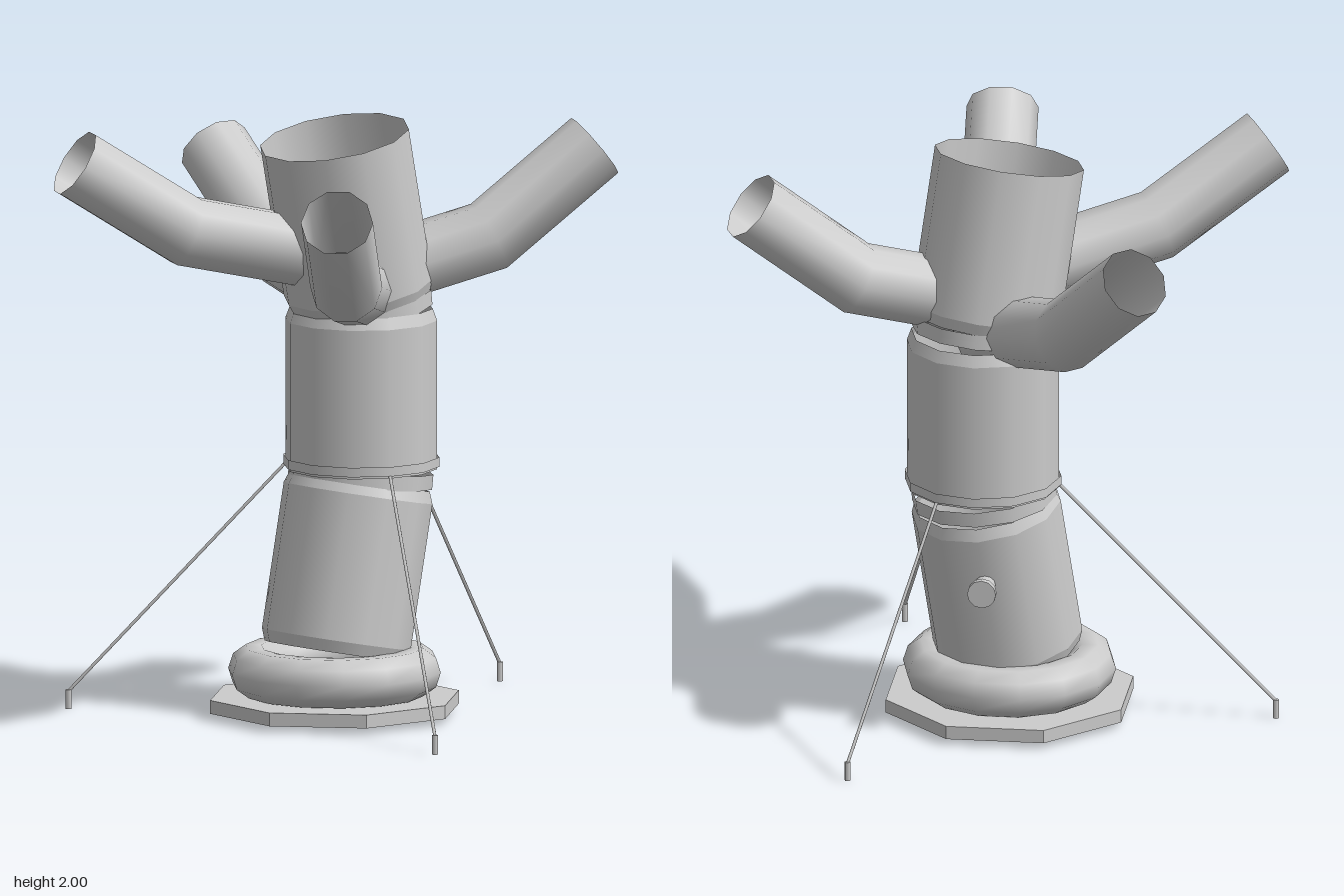
import * as THREE from 'three';

const V = (x, y, z) => new THREE.Vector3(x, y, z);
const solid = new THREE.MeshStandardMaterial({ color: 0xcccccc });
const open = new THREE.MeshStandardMaterial({ color: 0xcccccc, side: THREE.DoubleSide });

// Cylinder or cone running from point a to point b
function rod(name, a, b, ra, rb, sides, isOpen = false) {
  const dir = b.clone().sub(a);
  const mesh = new THREE.Mesh(
    new THREE.CylinderGeometry(rb, ra, dir.length(), sides, 1, isOpen), isOpen ? open : solid);
  mesh.name = name;
  mesh.position.copy(a).add(b).multiplyScalar(0.5);
  mesh.quaternion.setFromUnitVectors(V(0, 1, 0), dir.normalize());
  return mesh;
}

// Trunk section: open shell with a short chamfer where asked
function trunkSection(name, a, b, r, chamferStart, chamferEnd) {
  const group = new THREE.Group();
  group.name = name;
  const len = a.distanceTo(b), c = 0.04;
  const at = d => a.clone().lerp(b, d / len);
  const s = chamferStart ? c : 0, e = chamferEnd ? len - c : len;
  group.add(rod(name + 'Wall', at(s), at(e), r, r, 12, true));
  if (chamferStart) group.add(rod(name + 'LowerChamfer', a, at(s), r - 0.015, r, 12, true));
  if (chamferEnd) group.add(rod(name + 'UpperChamfer', at(e), b, r, r - 0.015, 12, true));
  return group;
}

// Hollow branch with one mitred elbow; its path lies in a vertical plane
function branch(name, points, r = 0.12, sides = 10) {
  const [p0, p1, p2] = points;
  const d0 = p1.clone().sub(p0).normalize(), d1 = p2.clone().sub(p1).normalize();
  const dm = d0.clone().add(d1).normalize();
  const side = V(d1.z, 0, -d1.x).normalize();
  const stretch = 1 / dm.dot(d0);
  const pos = [], index = [];
  [[p0, d0, 1], [p1, dm, stretch], [p2, d1, 1]].forEach(([p, d, k]) => {
    const up = d.clone().cross(side).normalize().multiplyScalar(k);
    for (let i = 0; i < sides; i++) {
      const t = (i / sides) * Math.PI * 2;
      const q = p.clone().addScaledVector(side, r * Math.cos(t)).addScaledVector(up, r * Math.sin(t));
      pos.push(q.x, q.y, q.z);
    }
  });
  for (let j = 0; j < 2; j++) for (let i = 0; i < sides; i++) {
    const a = j * sides + i, b = j * sides + (i + 1) % sides;
    index.push(a, b, a + sides, b, b + sides, a + sides);
  }
  const geo = new THREE.BufferGeometry();
  geo.setAttribute('position', new THREE.Float32BufferAttribute(pos, 3));
  geo.setIndex(index);
  geo.computeVertexNormals();
  const mesh = new THREE.Mesh(geo, open);
  mesh.name = name;
  return mesh;
}

export function createModel() {
  const model = new THREE.Group();
  model.name = 'branchingTrunk';
  const cz = -0.067;

  // Octagonal base plate, flats square to the axes
  const plateGeo = new THREE.CylinderGeometry(0.427, 0.427, 0.045, 8).rotateY(Math.PI / 8).toNonIndexed();
  plateGeo.computeVertexNormals();
  const plate = new THREE.Mesh(plateGeo, solid);
  plate.name = 'basePlate';
  plate.position.set(0, 0.043, cz);
  model.add(plate);

  // Rounded foot ring
  const foot = new THREE.Mesh(new THREE.TorusGeometry(0.272, 0.085, 10, 14).rotateX(Math.PI / 2), solid);
  foot.name = 'footRing';
  foot.position.set(0, 0.15, cz);
  model.add(foot);

  // Trunk: leaning lower part, upright middle, upper part leaning back again
  model.add(trunkSection('lowerTrunk', V(0, 0.215, -0.067), V(0.073, 0.775, -0.154), 0.252, true, true));
  model.add(trunkSection('middleTrunk', V(0.077, 0.82, -0.16), V(0.077, 1.36, -0.16), 0.255, false, true));
  model.add(trunkSection('upperTrunk', V(0.073, 1.39, -0.155), V(0, 1.945, -0.068), 0.252, true, false));

  // Collars at the two bends, and the band that holds the wires
  model.add(rod('lowerCollar', V(0.073, 0.77, -0.156), V(0.077, 0.82, -0.16), 0.243, 0.243, 12, true));
  model.add(rod('upperCollar', V(0.077, 1.355, -0.16), V(0.073, 1.405, -0.155), 0.24, 0.24, 12, true));
  model.add(rod('wireBand', V(0.077, 0.828, -0.16), V(0.077, 0.86, -0.16), 0.262, 0.262, 12, true));

  // Four hollow branches: root, elbow, mouth
  model.add(branch('leftBranch', [V(0.06, 1.46, -0.14), V(0.484, 1.585, -0.31), V(0.82, 1.875, -0.45)]));
  model.add(branch('rightBranch', [V(0.05, 1.53, -0.1), V(-0.468, 1.652, 0.14), V(-0.82, 1.9, 0.305)]));
  model.add(branch('frontBranch', [V(0.08, 1.42, -0.1), V(0.108, 1.52, 0.42), V(0.132, 1.8, 0.81)]));
  model.add(branch('backBranch', [V(0.08, 1.37, -0.16), V(-0.24, 1.485, -0.513), V(-0.51, 1.79, -0.8)]));

  // Pipe fitting with flange on the back of the lower trunk
  model.add(rod('pipeStub', V(0.045, 0.537, -0.3), V(0.045, 0.537, -0.445), 0.035, 0.035, 12));
  model.add(rod('pipeFlange', V(0.045, 0.537, -0.437), V(0.045, 0.537, -0.461), 0.048, 0.048, 12));

  // Three guy wires, each with a ground stake
  for (let i = 0; i < 3; i++) {
    const t = Math.PI + (i * Math.PI * 2) / 3;
    const c = Math.cos(t), s = Math.sin(t);
    const x = 0.893 * c, z = cz + 0.893 * s;
    model.add(rod('groundStake', V(x, 0, z), V(x, 0.065, z), 0.01, 0.01, 8));
    model.add(rod('guyWire', V(x, 0.06, z), V(0.077 + 0.255 * c, 0.83, -0.16 + 0.255 * s), 0.006, 0.006, 6));
  }
  return model;
}
